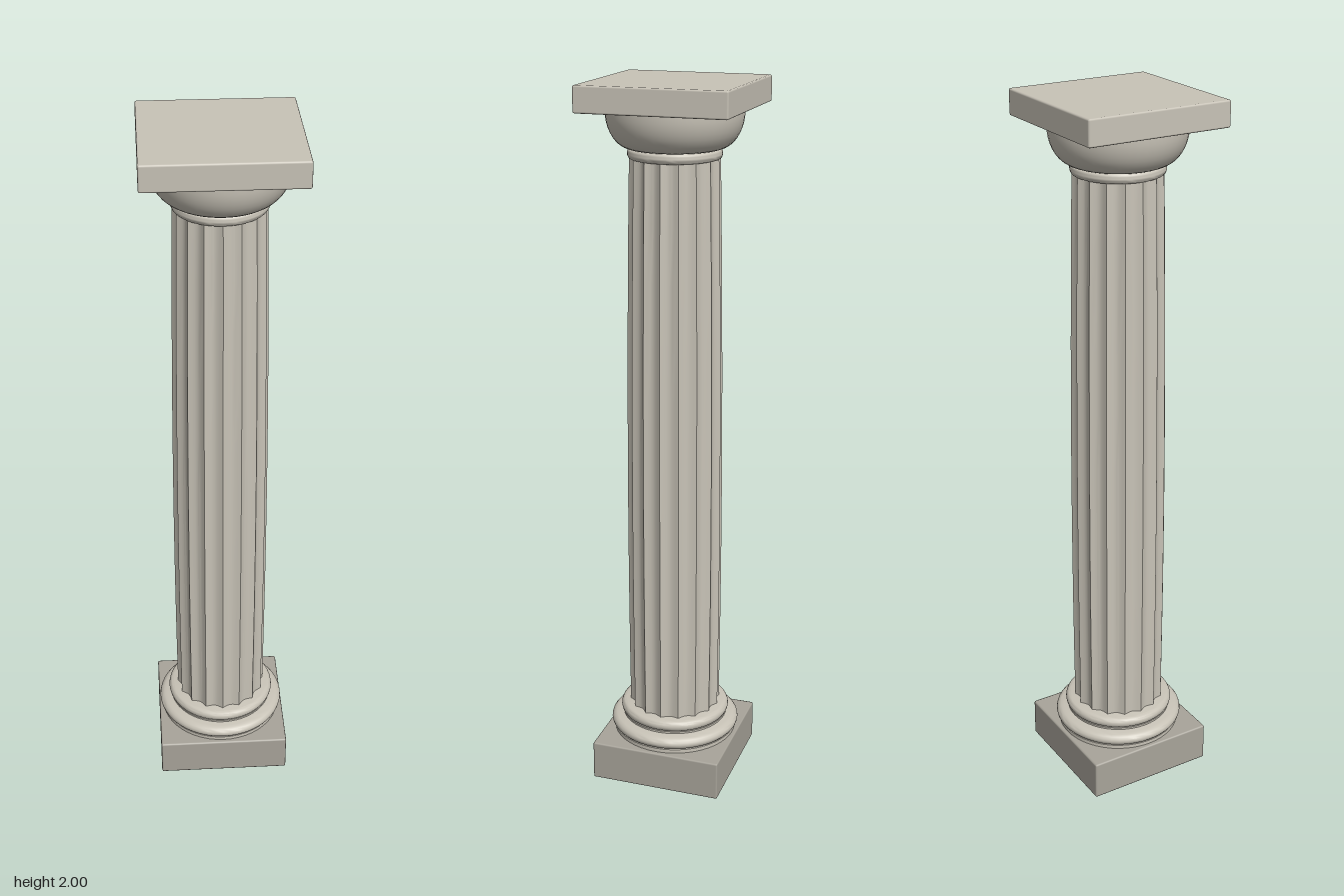
import * as THREE from 'three';
import { toCreasedNormals } from 'three/addons/utils/BufferGeometryUtils.js';
import { RoundedBoxGeometry } from 'three/addons/geometries/RoundedBoxGeometry.js';

const stone = new THREE.MeshStandardMaterial({ color: 0xc8c3b7 });
stone.name = 'pale stone';
const darkStone = new THREE.MeshStandardMaterial({ color: 0xa8a49a });
darkStone.name = 'weathered stone';

const FLUTES = 16;

function addMesh(group, name, geometry, material = stone) {
  const mesh = new THREE.Mesh(geometry, material);
  mesh.name = name;
  group.add(mesh);
  return mesh;
}

// Square slab with a fine bevel, between two heights
function slab(halfWidth, y0, y1) {
  const g = new RoundedBoxGeometry(halfWidth * 2, y1 - y0, halfWidth * 2, 1, 0.005);
  return g.translate(0, (y0 + y1) / 2, 0);
}

// Turned moulding from [radius, height] pairs, listed bottom to top
function turned(profile) {
  const points = profile.map(([r, y]) => new THREE.Vector2(r, y));
  return toCreasedNormals(new THREE.LatheGeometry(points, 48), 0.65);
}

// Half-round bulge from y0 to y1 reaching the given radius
function roll(radius, y0, y1, depth) {
  const points = [];
  for (let i = 0; i <= 8; i++) {
    const a = (i / 8 - 0.5) * Math.PI;
    points.push([radius - depth + depth * Math.cos(a), (y0 + y1) / 2 + ((y1 - y0) / 2) * Math.sin(a)]);
  }
  return points;
}

// Tapered shaft with a slight swelling and concave flutes meeting at sharp edges
function flutedShaft(y0, y1) {
  const g = new THREE.CylinderGeometry(1, 1, y1 - y0, FLUTES * 6, 10, true);
  g.translate(0, (y0 + y1) / 2, 0);
  const p = g.attributes.position;
  for (let i = 0; i < p.count; i++) {
    const angle = Math.atan2(p.getX(i), p.getZ(i));
    const t = (p.getY(i) - y0) / (y1 - y0);
    const outer = 0.131 + 0.016 * t - 0.026 * t * t;
    const r = outer * (1 - 0.085 * Math.abs(Math.sin((angle * FLUTES) / 2)));
    p.setX(i, r * Math.sin(angle));
    p.setZ(i, r * Math.cos(angle));
  }
  return toCreasedNormals(g, 0.5);
}

export function createModel() {
  const column = new THREE.Group();
  column.name = 'column';

  // Foot
  addMesh(column, 'plinth', slab(0.19, 0, 0.115), darkStone);
  addMesh(column, 'baseMoulding', turned([
    [0, 0.114], [0.178, 0.114], [0.178, 0.126],
    ...roll(0.187, 0.126, 0.162, 0.022),
    [0.152, 0.164], [0.152, 0.17],
    ...roll(0.158, 0.17, 0.202, 0.014),
    [0, 0.202],
  ]));

  // Shaft
  addMesh(column, 'shaft', flutedShaft(0.2, 1.802));

  // Capital: neck ring and bowl
  addMesh(column, 'neckRing', turned([
    [0, 1.8], ...roll(0.126, 1.8, 1.827, 0.008), [0, 1.827],
  ]));
  const bowl = [[0, 1.825], [0.113, 1.825]];
  for (let i = 0; i <= 10; i++) {
    const a = (i / 10) * Math.PI / 2;
    bowl.push([0.118 + 0.065 * Math.sin(a), 1.925 - 0.098 * Math.cos(a)]);
  }
  addMesh(column, 'bowl', turned([...bowl, [0.183, 1.931]]));
  addMesh(column, 'topSlab', slab(0.205, 1.93, 2));

  return column;
}
